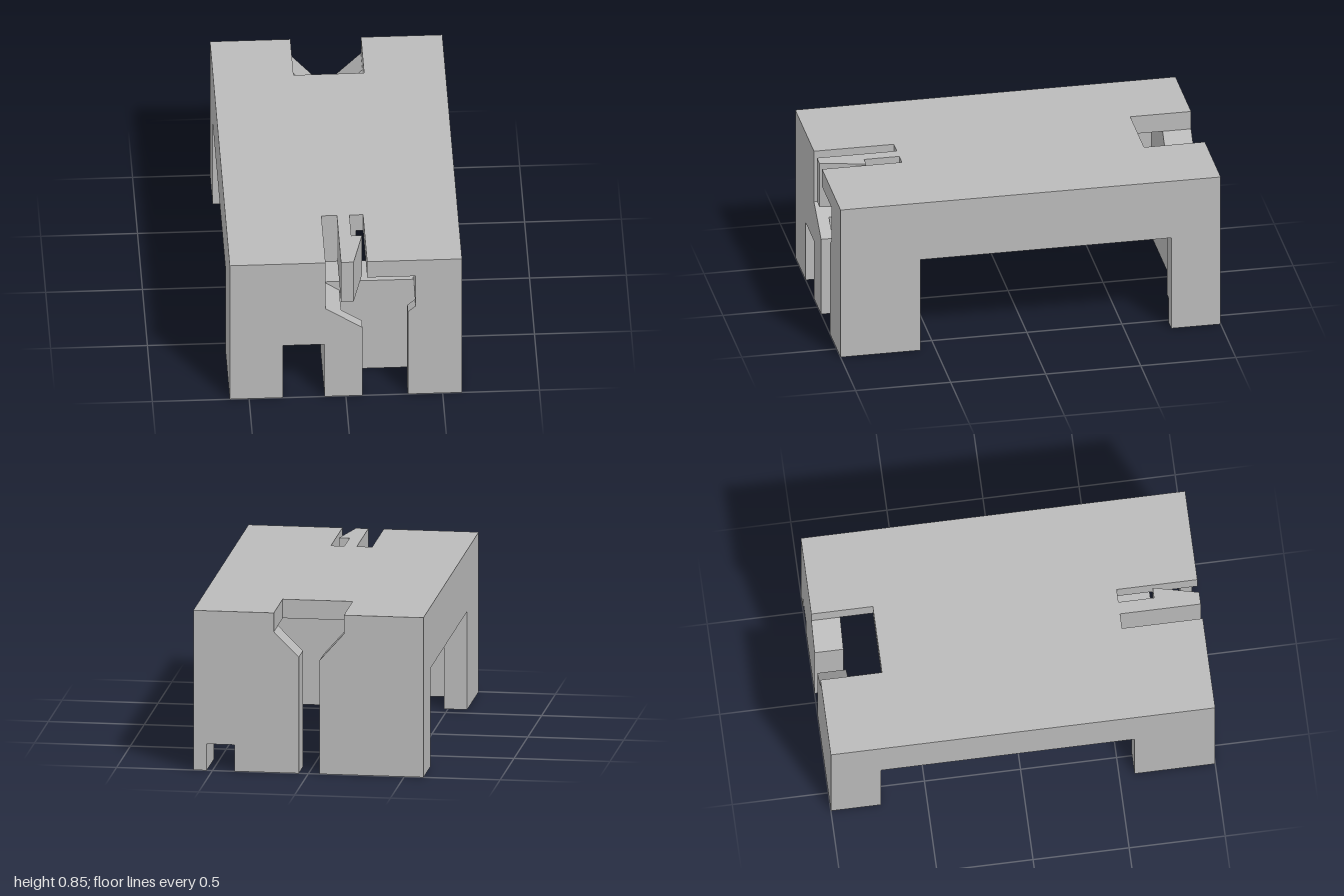
import * as THREE from 'three';

export function createModel() {
  const model = new THREE.Group();
  model.name = 'clipHousing';
  const grey = new THREE.MeshStandardMaterial({ name: 'plain grey', color: 0xbababa });

  const extrude = (pts, depth) => new THREE.ExtrudeGeometry(
    new THREE.Shape(pts.map(([a, b]) => new THREE.Vector2(a, b))),
    { depth, bevelEnabled: false });
  const add = (name, geometry) => {
    const mesh = new THREE.Mesh(geometry, grey);
    mesh.name = name;
    model.add(mesh);
  };
  // Outline given as [x, y], swept along z
  const alongZ = (name, pts, z0, z1) =>
    add(name, extrude(pts, z1 - z0).translate(0, 0, z0));
  // Outline given as [x, z], swept along y
  const alongY = (name, pts, y0, y1) =>
    add(name, extrude(pts.map(([x, z]) => [x, -z]), y1 - y0).rotateX(-Math.PI / 2).translate(0, y0, 0));
  // Outline given as [z, y], swept along x
  const alongX = (name, pts, x0, x1) =>
    add(name, extrude(pts.map(([z, y]) => [-z, y]), x1 - x0).rotateY(Math.PI / 2).translate(x0, 0, 0));

  const W = 0.6, IN = 0.48;        // outer and inner half width
  const TOP = 0.845, CEIL = 0.745; // top and underside of the roof
  const RAIL = 0.52;               // underside of the side rails
  const FRONT = 0.58, LEG = -0.74, BACK = -0.85;

  // Barbed latch arm, free on both sides
  const latch = [[-0.025, FRONT], [0.04, FRONT], [0.04, 0.765], [0.095, 0.765], [0.04, 1], [-0.025, 1]];

  // Roof with latch slots at the front and a wide notch at the back
  alongY('roof', [
    [W, 1], [0.11, 1], [0.11, FRONT], ...latch.slice(1), [-0.025, FRONT],
    [-0.105, FRONT], [-0.105, 1], [-W, 1], [-W, -1],
    [-0.185, -1], [-0.185, -0.68], [0.18, -0.68], [0.18, -1], [W, -1],
  ], CEIL, TOP);
  alongY('latchArm', latch, 0.595, CEIL);

  // Front wall and block, in layers from the front face inwards
  const pocketLeft = [[-0.105, 0.555], [-0.105, CEIL], [-W, CEIL]];
  const pocketRight = [[W, 0], [W, CEIL], [0.36, CEIL], [0.36, 0.555]];
  const notch = [[-W, 0], [-0.325, 0], [-0.325, 0.33], [-0.11, 0.33], [-0.11, 0]];
  const hollow = [[-W, 0], [-IN, 0], [-IN, RAIL], [-0.11, RAIL], [-0.11, 0]];
  const shaftLeft = [[-0.022, 0], [-0.022, 0.5]];
  const shaftRight = [[0.41, 0], ...pocketRight, [0.41, RAIL]];

  alongZ('frontLipRight', [...notch, [0.085, 0], [0.085, 0.43], ...pocketLeft], 0.938, 1);
  alongZ('frontLipLeft', [[0.32, 0], ...pocketRight, [0.32, RAIL]], 0.938, 1);
  alongZ('frontWall', [...notch, ...shaftLeft, ...pocketLeft], 0.86, 0.938);
  alongZ('shaftWallRight', [...hollow, ...shaftLeft, ...pocketLeft], 0.76, 0.86);
  alongZ('shaftWallLeft', shaftRight, 0.76, 0.938);
  alongZ('frontBlock', [...hollow, ...pocketRight, ...pocketLeft], FRONT, 0.76);

  // Sloped braces behind the front block, with a passage between them
  const brace = [[FRONT, RAIL], [0.48, RAIL], [0.38, CEIL], [FRONT, CEIL]];
  alongX('braceRight', brace, -IN, 0.075);
  alongX('braceLeft', brace, 0.33, IN);

  // Side rails
  const rail = [[LEG, RAIL], [FRONT, RAIL], [FRONT, CEIL], [LEG, CEIL]];
  alongX('railLeft', rail, IN, W);
  alongX('railRight', rail, -W, -IN);

  // Back legs, the left one with a small cable notch at its foot
  alongZ('backLegLeft', [[0.53, 0], [W, 0], [W, CEIL], [IN, CEIL], [IN, 0.14], [0.53, 0.14]], BACK, LEG);
  alongZ('backLegRight', [[-W, 0], [-IN, 0], [-IN, CEIL], [-W, CEIL]], BACK, LEG);

  // Back wall halves around a funnel-shaped slot
  alongZ('backWallLeft', [
    [0.05, 0], [0.385, 0], [0.385, 0.14], [0.53, 0.14], [0.53, 0], [W, 0],
    [W, CEIL], [0.18, CEIL], [0.05, 0.615],
  ], -1, BACK);
  alongZ('backWallRight', [[-W, 0], [-0.057, 0], [-0.057, 0.6], [-0.185, CEIL], [-W, CEIL]], -1, BACK);

  return model;
}
